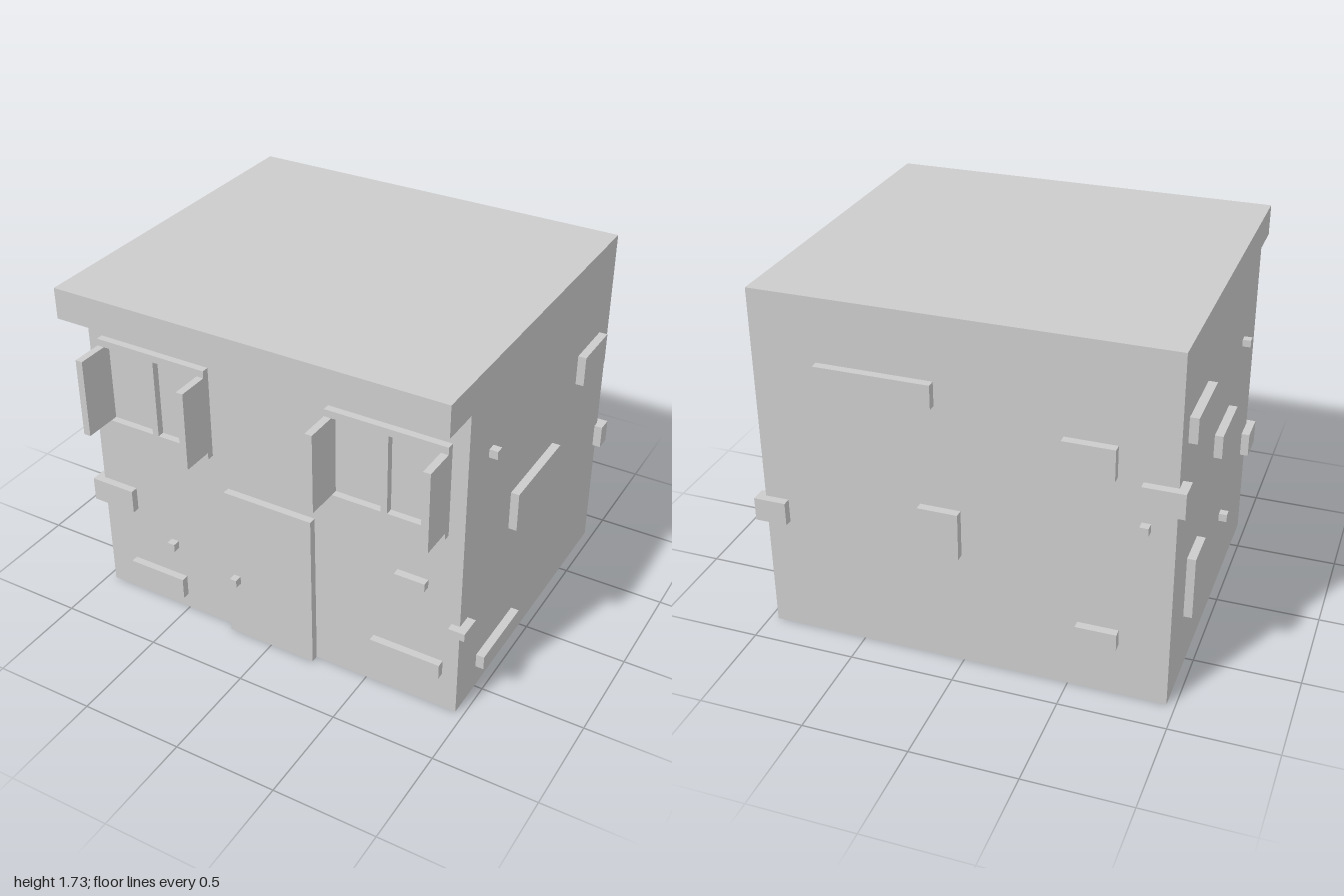
import * as THREE from 'three';

const material = new THREE.MeshStandardMaterial({ color: 0xcccccc, flatShading: true });

// Wall planes of the house
const SIDE = 0.96, FRONT = 0.695, BACK = -0.845, TOP = 1.73, RELIEF = 0.04;

// Box given by its extents on each axis
function block(name, [x0, x1], [y0, y1], [z0, z1]) {
  const mesh = new THREE.Mesh(new THREE.BoxGeometry(x1 - x0, y1 - y0, z1 - z0), material);
  mesh.position.set((x0 + x1) / 2, (y0 + y1) / 2, (z0 + z1) / 2);
  mesh.name = name;
  return mesh;
}

// Walls and overhanging flat roof, extruded from one side profile
function createBody() {
  const profile = new THREE.Shape([
    [BACK, 0], [FRONT, 0], [FRONT, 1.58], [0.885, 1.58], [0.885, TOP], [BACK, TOP],
  ].map(([z, y]) => new THREE.Vector2(-z, y)));
  const geometry = new THREE.ExtrudeGeometry(profile, { depth: SIDE * 2, bevelEnabled: false });
  geometry.translate(0, 0, -SIDE);
  geometry.rotateY(Math.PI / 2);
  const mesh = new THREE.Mesh(geometry, material);
  mesh.name = 'wallsAndRoof';
  return mesh;
}

// Framed window with a mullion and two shutters opened straight out
function createWindow(centreX) {
  const group = new THREE.Group();
  group.name = centreX > 0 ? 'leftWindow' : 'rightWindow';
  const frameZ = [FRONT, 0.73];
  group.add(
    block('frameTop', [-0.29, 0.29], [1.39, 1.425], frameZ),
    block('frameBottom', [-0.29, 0.29], [0.965, 1.0], frameZ),
    block('mullion', [-0.016, 0.016], [1.0, 1.39], frameZ),
  );
  for (const s of [-1, 1]) {
    const x = [s * 0.255, s * 0.29].sort((a, b) => a - b);
    group.add(block('shutter', x, [1.0, 1.39], [FRONT, 0.885]));
  }
  group.position.x = centreX;
  return group;
}

// Raised bricks per wall: [start, end, bottom, top], running along x or z
const wallBricks = {
  front: [
    [0.65, 0.8, 0.655, 0.695], [0.535, 0.885, 0.195, 0.27],
    [-0.81, -0.505, 0.08, 0.19], [-0.58, -0.54, 0.35, 0.39],
  ],
  back: [
    [0.11, 0.65, 1.31, 1.425], [-0.7, -0.465, 1.12, 1.27], [0, 0.19, 0.58, 0.81],
    [-0.73, -0.54, 0.27, 0.35], [-0.85, -0.81, 0.885, 0.925],
  ],
  left: [
    [-0.73, -0.465, 1.12, 1.27], [0.46, 0.5, 1.27, 1.31],
    [-0.23, 0.23, 0.73, 0.925], [0.12, 0.5, 0.12, 0.19],
  ],
  right: [
    [-0.73, -0.39, 1.27, 1.39], [-0.155, 0.15, 0.885, 1.0], [0.38, 0.42, 1.2, 1.235],
    [-0.6, -0.41, 0.31, 0.62], [0.1, 0.14, 0.39, 0.43],
  ],
};

// Depth range of the raised bricks on each wall
const wallDepth = {
  front: [FRONT, FRONT + 0.037],
  back: [BACK - RELIEF, BACK],
  left: [SIDE, SIDE + RELIEF],
  right: [-SIDE - RELIEF, -SIDE],
};

function createBricks() {
  const group = new THREE.Group();
  group.name = 'bricks';
  for (const [wall, bricks] of Object.entries(wallBricks)) {
    const alongX = wall === 'front' || wall === 'back';
    for (const [a, b, y0, y1] of bricks) {
      const span = [a, b], depth = wallDepth[wall];
      group.add(block(`${wall}Brick`, alongX ? span : depth, [y0, y1], alongX ? depth : span));
    }
  }
  // Bricks wrapping the vertical corners
  group.add(
    block('frontLeftCornerBrick', [0.92, 1], [0.46, 0.5], [0.62, 0.732]),
    block('frontRightCornerBrick', [-1, -0.77], [0.5, 0.62], [0.575, 0.732]),
    block('backLeftCornerBrick', [0.845, 1], [0.58, 0.695], [-0.885, -0.81]),
    block('backRightCornerBrick', [-1, -0.81], [1.0, 1.12], [-0.885, -0.78]),
  );
  return group;
}

export function createModel() {
  const model = new THREE.Group();
  model.name = 'house';
  model.add(
    createBody(),
    createWindow(-0.595),
    createWindow(0.595),
    block('door', [-0.23, 0.23], [0, 0.81], [FRONT, 0.732]),
    block('doorKnob', [-0.195, -0.16], [0.31, 0.35], [0.732, 0.77]),
    createBricks(),
  );
  return model;
}
